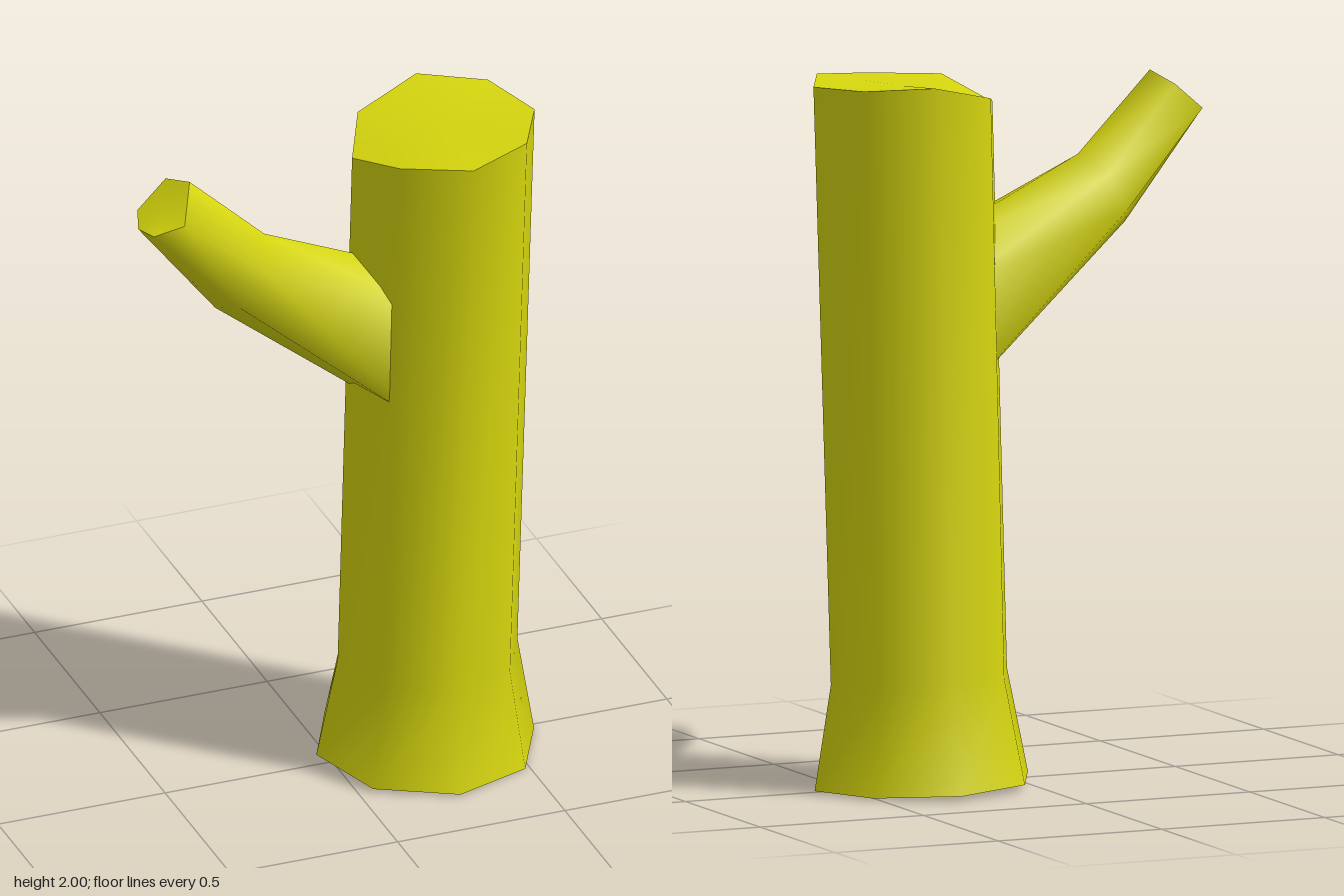
import * as THREE from 'three';

// Skin a stack of rings: smooth sides, flat caps. Rings run clockwise about the growing direction.
function loft(name, rings, material) {
  const n = rings[0].length;
  const group = new THREE.Group();
  group.name = name;

  const addMesh = (part, points, index) => {
    const geo = new THREE.BufferGeometry();
    geo.setAttribute('position', new THREE.Float32BufferAttribute(points.flat(), 3));
    geo.setIndex(index);
    geo.computeVertexNormals();
    const mesh = new THREE.Mesh(geo, material);
    mesh.name = part;
    group.add(mesh);
  };

  const sides = [];
  for (let i = 0; i < rings.length - 1; i++) {
    for (let j = 0; j < n; j++) {
      const a = i * n + j, b = i * n + (j + 1) % n;
      sides.push(a, a + n, b, b, a + n, b + n);
    }
  }
  addMesh(name + 'Bark', rings.flat(), sides);

  const cap = (part, ring, flip) => {
    const centre = [0, 1, 2].map(k => ring.reduce((s, p) => s + p[k], 0) / n);
    const index = [];
    for (let j = 0; j < n; j++) {
      const next = (j + 1) % n;
      index.push(n, ...(flip ? [j, next] : [next, j]));
    }
    addMesh(part, [...ring, centre], index);
  };
  cap(name + 'LowerEnd', rings[0], true);
  cap(name + 'CutEnd', rings[rings.length - 1], false);
  return group;
}

export function createModel() {
  const model = new THREE.Group();
  model.name = 'treeStump';
  const wood = new THREE.MeshStandardMaterial({ color: 0xd6d60e });
  wood.name = 'yellowWood';

  // Trunk: flared foot, narrower neck, slanted cut top
  const foot = [
    [0.30, 0.014, -0.32], [0.52, 0.007, -0.21], [0.595, 0, 0.02], [0.485, 0.001, 0.235],
    [0.26, 0.005, 0.317], [0.04, 0.012, 0.21], [-0.04, 0.02, -0.02], [0.07, 0.02, -0.24],
  ];
  const neck = foot.map(([x, y, z]) => [0.283 + (x - 0.278) * 0.826, 0.295 + y, 0.005 + z * 0.82]);
  const top = [
    [0.34, 2.0, -0.23], [0.52, 1.99, -0.14], [0.585, 1.98, 0.05], [0.49, 1.985, 0.235],
    [0.305, 1.967, 0.30], [0.12, 1.965, 0.21], [0.055, 1.91, 0.01], [0.14, 1.95, -0.165],
  ];
  model.add(loft('trunk', [foot, neck, top], wood));

  // Branch: root buried in the trunk, elbow, cut tip
  const root = [
    [0.20, 1.07, 0.0], [0.21, 1.13, -0.17], [0.28, 1.42, -0.20],
    [0.30, 1.50, 0.0], [0.28, 1.45, 0.20], [0.21, 1.12, 0.19],
  ];
  const elbow = [
    [-0.37, 1.54, 0.05], [-0.33, 1.59, -0.055], [-0.26, 1.69, -0.07],
    [-0.22, 1.74, 0.04], [-0.26, 1.68, 0.155], [-0.335, 1.58, 0.14],
  ];
  const tip = [
    [-0.60, 1.835, 0.05], [-0.575, 1.855, -0.02], [-0.485, 1.93, -0.035],
    [-0.45, 1.96, 0.06], [-0.495, 1.867, 0.137], [-0.58, 1.842, 0.12],
  ];
  model.add(loft('branch', [root, elbow, tip], wood));

  return model;
}
